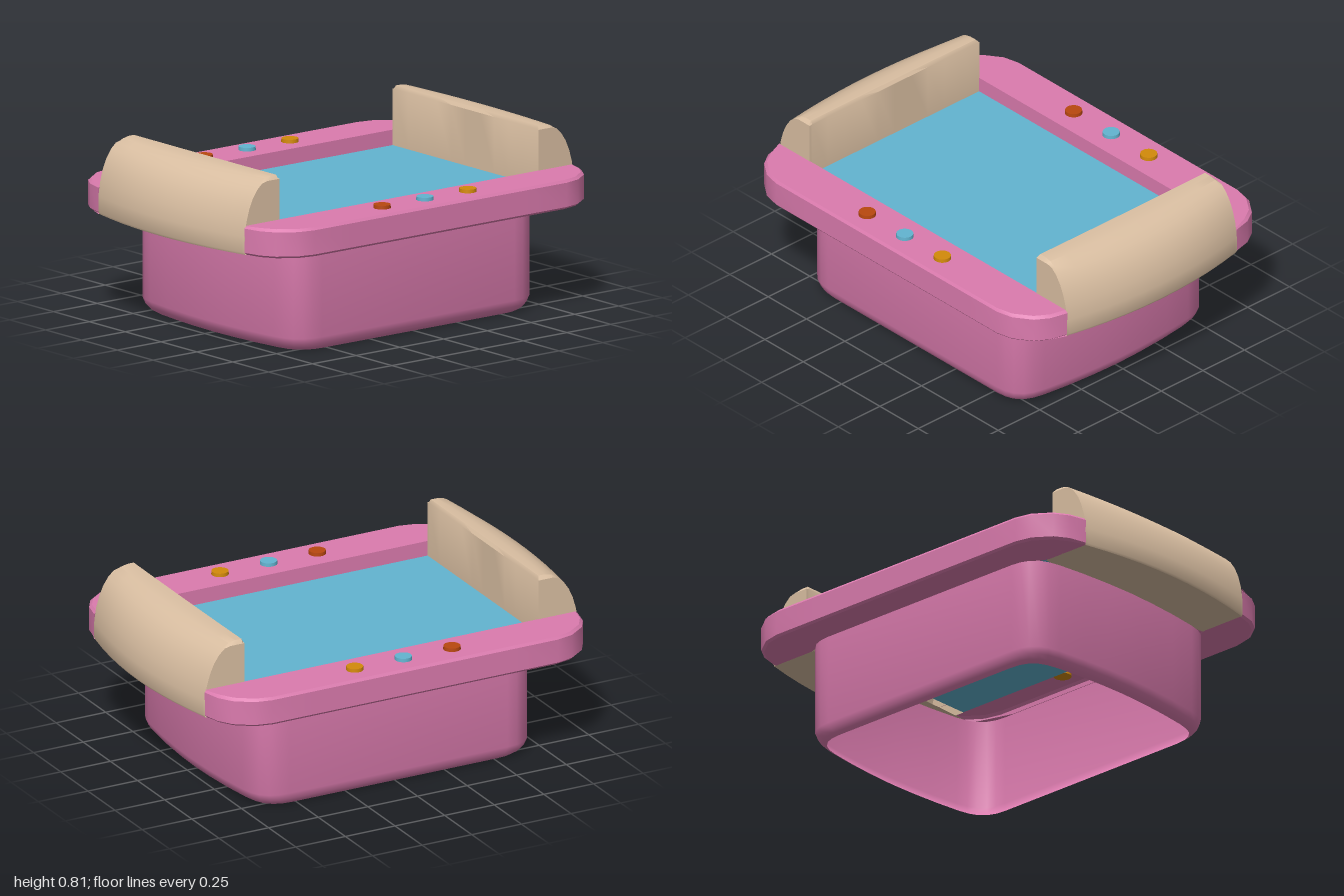
import * as THREE from 'three';
import { toCreasedNormals } from 'three/addons/utils/BufferGeometryUtils.js';

const material = (name, color) =>
  new THREE.MeshStandardMaterial({ name, color, side: THREE.DoubleSide });

// Grid surface: point(i, j) gives the position at row i, column j
function sheet(rows, cols, point) {
  const pos = [], idx = [];
  for (let i = 0; i < rows; i++)
    for (let j = 0; j < cols; j++) pos.push(...point(i, j));
  for (let i = 0; i < rows - 1; i++)
    for (let j = 0; j < cols - 1; j++) {
      const a = i * cols + j, b = a + cols;
      idx.push(a, b, a + 1, b, b + 1, a + 1);
    }
  const g = new THREE.BufferGeometry();
  g.setAttribute('position', new THREE.Float32BufferAttribute(pos, 3));
  g.setIndex(idx);
  return toCreasedNormals(g, 0.6);
}

export function createModel() {
  const pink = material('pink', 0xdb7bae);
  const tan = material('tan', 0xdabfa2);
  const water = material('waterBlue', 0x62b4d0);
  const rust = material('rust', 0xb9480f);
  const amber = material('amber', 0xd38a0a);

  const model = new THREE.Group();
  const add = (name, geometry, mat, parent = model) => {
    const mesh = new THREE.Mesh(geometry, mat);
    mesh.name = name;
    parent.add(mesh);
    return mesh;
  };

  const RIM = 0.61, UNDER = 0.478, WATER = 0.54, IN_X = 0.74, IN_Z = 0.508;

  // Base: open-bottomed tub with rounded corners and gently bowed ends
  const corner = [[0.55, 0.575], [0.6, 0.57], [0.64, 0.555], [0.675, 0.525], [0.695, 0.485], [0.708, 0.43]];
  const quarter = [...corner, [0.725, 0.29], [0.736, 0.14], [0.74, 0]];
  const half = [...quarter, ...quarter.slice(0, -1).reverse().map(([x, z]) => [x, -z])];
  const outline = [...half, ...half.map(([x, z]) => [-x, -z]), half[0]];
  const levels = [[0, 0.94], [0.012, 0.965], [0.03, 0.985], [0.06, 1], [UNDER, 1]];
  add('tubBase', sheet(levels.length, outline.length, (i, j) => {
    const [y, s] = levels[i];
    return [outline[j][0] * s, y, outline[j][1] * s];
  }), pink);

  // Water surface
  const surface = new THREE.PlaneGeometry(IN_X * 2, IN_Z * 2).rotateX(-Math.PI / 2);
  add('waterSurface', surface, water).position.y = WATER;

  // Rim: hollow ledge at the front and back
  const rimQuarter = [[0.94, IN_Z], [0.92, 0.592], [0.88, 0.655], [0.8, 0.712], [0.72, 0.73], [0.5, 0.73]];
  const rimPath = [...rimQuarter, ...rimQuarter.slice().reverse().map(([x, z]) => [-x, z])];
  const rimSection = (i, j) => {
    const [x, z] = rimPath[j];
    const s = 0.988;
    return [
      [x, RIM, IN_Z],
      [x * s, RIM, Math.max(IN_Z, z * s)],
      [x, RIM - 0.012, z],
      [x, UNDER + 0.01, z],
      [x * s, UNDER, Math.max(IN_Z, z * s)],
      [x, UNDER, Math.abs(x) < 0.55 ? 0.572 : IN_Z],
    ][i];
  };
  const rimGeometry = sheet(6, rimPath.length, rimSection);
  const innerWall = sheet(2, 2, (i, j) => [j ? IN_X : -IN_X, i ? RIM : WATER, IN_Z]);

  // Armrests: bowed, rounded bolsters over each end
  const armZ = [-0.51, -0.495, -0.4, -0.3, -0.2, -0.1, 0, 0.1, 0.2, 0.3, 0.4, 0.495, 0.51];
  const armProfile = [[0, WATER], [0, 0.797], [0.04, 0.812], [0.2, 0.812], [0.36, 0.805], [0.5, 0.788],
    [0.64, 0.763], [0.77, 0.725], [0.87, 0.68], [0.95, 0.625], [1, 0.56], [1, UNDER + 0.01],
    [0.98, UNDER], [-0.2, UNDER]];
  const armPoint = (i, j) => {
    const z = armZ[i];
    const [u, y] = armProfile[j];
    const outer = 1 - 0.06 * (z / 0.51) ** 2;
    const top = Math.abs(z) > 0.5 ? 0.795 : 0.812;
    return [IN_X + u * (outer - IN_X), Math.min(y, top), z];
  };
  const armGeometry = sheet(armZ.length, armProfile.length, armPoint);
  const armCap = (row) => sheet(2, 11, (i, j) => {
    const p = armPoint(row, j);
    return i ? [p[0], WATER, p[2]] : p;
  });

  // Each rim ledge and armrest is repeated by a half turn
  ['front', 'back'].forEach((side, k) => {
    const rim = new THREE.Group();
    rim.name = side + 'Rim';
    add('rimLedge', rimGeometry, pink, rim);
    add('rimInnerWall', innerWall, pink, rim);
    rim.rotation.y = k * Math.PI;
    model.add(rim);

    const arm = new THREE.Group();
    arm.name = k ? 'rightArmrest' : 'leftArmrest';
    add('bolster', armGeometry, tan, arm);
    add('bolsterEnd', armCap(0), tan, arm);
    add('bolsterEnd', armCap(armZ.length - 1), tan, arm);
    arm.rotation.y = k * Math.PI;
    model.add(arm);

    // Three round buttons on each ledge
    [rust, water, amber].forEach((mat, n) => {
      const button = add(side + 'Button', new THREE.CylinderGeometry(0.038, 0.04, 0.03, 24), mat);
      button.position.set((n - 1) * 0.245, 0.611, k ? -0.62 : 0.62);
    });
  });

  return model;
}
